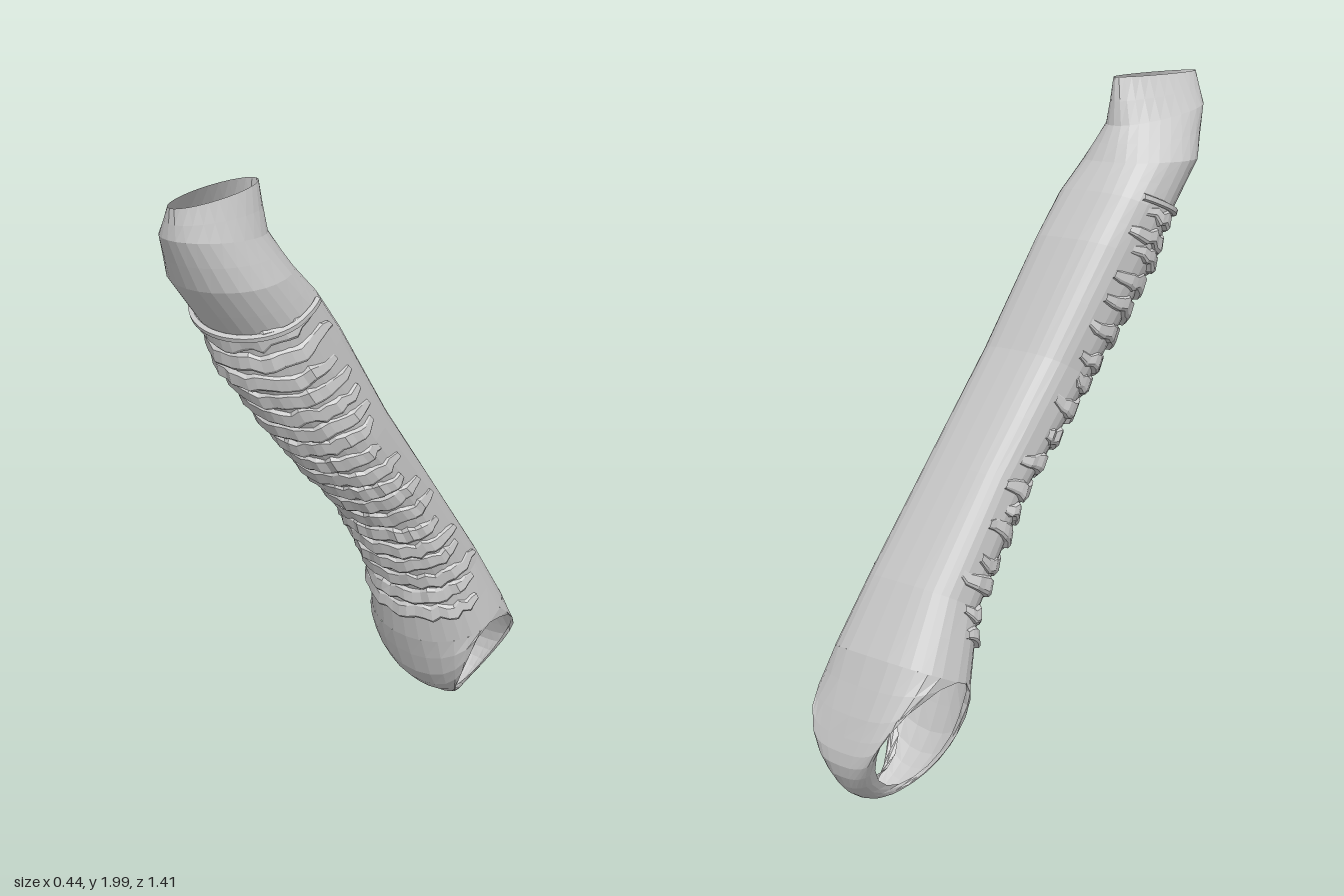
import * as THREE from 'three';

// Sections down the sleeve: front z, y, back z, y, left and right x limits, back squareness
const SECTIONS = [
  [0.70, 1.99, 0.36, 1.98, -0.06, 0.04, 1],
  [0.695, 1.9, 0.34, 1.84, -0.13, 0.08, 0.95],
  [0.615, 1.74, 0.28, 1.74, -0.20, 0.125, 0.85],
  [0.47, 1.55, 0.22, 1.66, -0.205, 0.14, 0.7],
  [0.42, 1.42, 0.13, 1.53, -0.195, 0.148, 0.65],
  [0.18, 1.10, -0.05, 1.22, -0.165, 0.165, 0.62],
  [-0.08, 0.81, -0.27, 0.91, -0.16, 0.17, 0.62],
  [-0.26, 0.50, -0.48, 0.61, -0.17, 0.19, 0.62],
  [-0.31, 0.30, -0.60, 0.42, -0.215, 0.22, 0.65],
];
const lerp = THREE.MathUtils.lerp;

function seeded(seed) {
  return () => {
    seed = (seed * 16807) % 2147483647;
    return seed / 2147483647 - 0.5;
  };
}

// Mesh from a rows x cols grid of points
function gridMesh(name, rows, cols, fn) {
  const positions = [], index = [];
  for (let i = 0; i <= rows; i++) {
    for (let j = 0; j <= cols; j++) positions.push(...fn(i, j));
  }
  for (let i = 0; i < rows; i++) {
    for (let j = 0; j < cols; j++) {
      const a = i * (cols + 1) + j, b = a + cols + 1;
      index.push(a, b, a + 1, b, b + 1, a + 1);
    }
  }
  const geometry = new THREE.BufferGeometry();
  geometry.setAttribute('position', new THREE.Float32BufferAttribute(positions, 3));
  geometry.setIndex(index);
  geometry.computeVertexNormals();
  const mesh = new THREE.Mesh(geometry, new THREE.MeshStandardMaterial({
    color: 0xcccccc, flatShading: true, side: THREE.DoubleSide,
  }));
  mesh.name = name;
  return mesh;
}

const power = (value, p) => Math.sign(value) * Math.abs(value) ** p;

// Point on the sleeve; v counts sections, angle 0 is the front, grow pushes outward
function sleevePoint(v, angle, grow = 0) {
  const k = Math.min(Math.floor(v), SECTIONS.length - 2);
  const [fz, fy, bz, by, x0, x1, square] =
    SECTIONS[k].map((n, i) => lerp(n, SECTIONS[k + 1][i], v - k));
  const c = Math.cos(angle), s = Math.sin(angle);
  const p = c < 0 ? square : 1;
  const dz = (fz - bz) / 2, dy = (fy - by) / 2;
  const depth = power(c, p) * (1 + grow / Math.hypot(dz, dy));
  return [
    (x0 + x1) / 2 + power(s, p) * ((x1 - x0) / 2 + grow),
    (fy + by) / 2 + dy * depth,
    (fz + bz) / 2 + dz * depth,
  ];
}

// Section position whose front lies at height y
function sectionAt(y) {
  let k = 0;
  while (k < SECTIONS.length - 2 && SECTIONS[k + 1][1] > y) k++;
  return k + (SECTIONS[k][1] - y) / (SECTIONS[k][1] - SECTIONS[k + 1][1]);
}

// Lower end: a strap under the sleeve, leaving a slanted opening on each side
function endLoop() {
  const rows = 18, cols = 12;
  const path = new THREE.CatmullRomCurve3([
    [-0.31, 0.30], [-0.39, 0.11], [-0.49, 0.025], [-0.58, 0.0],
    [-0.67, 0.04], [-0.705, 0.12], [-0.68, 0.22], [-0.60, 0.42],
  ].map(([z, y]) => new THREE.Vector3(0, y, z)));
  return gridMesh('endLoop', rows, cols, (i, j) => {
    const t = i / rows, p = path.getPoint(t), round = t * Math.PI * 2;
    const rimY = 0.2 + 0.16 * Math.cos(round);
    const rimZ = -0.53 + 0.14 * Math.sin(round) + 0.075 * Math.max(0, Math.cos(round)) ** 3;
    const width = 0.05 + 0.1675 * (rimY - 0.04) / 0.32;
    const a = (j / cols - 0.5) * Math.PI, q = lerp(1, 0.65, t);
    const inward = 1 - Math.max(0, Math.cos(a)) ** q;
    return [
      0.0025 + power(Math.sin(a), q) * width,
      lerp(p.y, rimY, inward),
      lerp(p.z, rimZ, inward),
    ];
  });
}

export function createModel() {
  const group = new THREE.Group();
  group.name = 'wrappedSleeve';

  // Tapered sleeve with a narrow open slit on top
  const around = 28, last = SECTIONS.length - 1;
  group.add(gridMesh('sleeve', last * 2, around, (i, j) =>
    sleevePoint(i / 2, (j / around) * Math.PI * 2)));
  group.add(endLoop());

  // Uneven wrapped bands over the front and sides
  const wraps = new THREE.Group();
  wraps.name = 'wraps';
  const random = seeded(41), count = 18, cols = 22;
  const profile = [[0.03, -0.004], [0.022, 0.009], [-0.012, 0.017], [-0.022, 0.012], [-0.026, -0.004]];
  for (let n = 0; n < count; n++) {
    const y = lerp(0.42, 1.55, n / (count - 1));
    const reach = 1.75 + random() * 0.45;
    const jitter = Array.from({ length: cols + 1 }, () => [random() * 0.016, random() * 0.009]);
    const tilt = random() * 0.03;
    wraps.add(gridMesh('wrap', profile.length - 1, cols, (i, j) => {
      const u = (j / cols) * 2 - 1;
      const [dy, out] = profile[i], [jy, jo] = jitter[j];
      const fade = 1 - 0.6 * Math.abs(u) ** 4;
      return sleevePoint(sectionAt(y + dy * fade + jy + tilt * u), u * reach, out * fade + (out > 0 ? jo : 0));
    }));
  }
  group.add(wraps);

  // Raised cord closing the top of the wrapping
  const cord = Array.from({ length: 21 }, (_, i) => {
    const u = i / 10 - 1;
    return new THREE.Vector3(...sleevePoint(sectionAt(1.575), u * 2.0, 0.008));
  });
  const cordMesh = new THREE.Mesh(
    new THREE.TubeGeometry(new THREE.CatmullRomCurve3(cord), 30, 0.011, 5),
    new THREE.MeshStandardMaterial({ color: 0xcccccc, flatShading: true }));
  cordMesh.name = 'topCord';
  group.add(cordMesh);
  return group;
}
